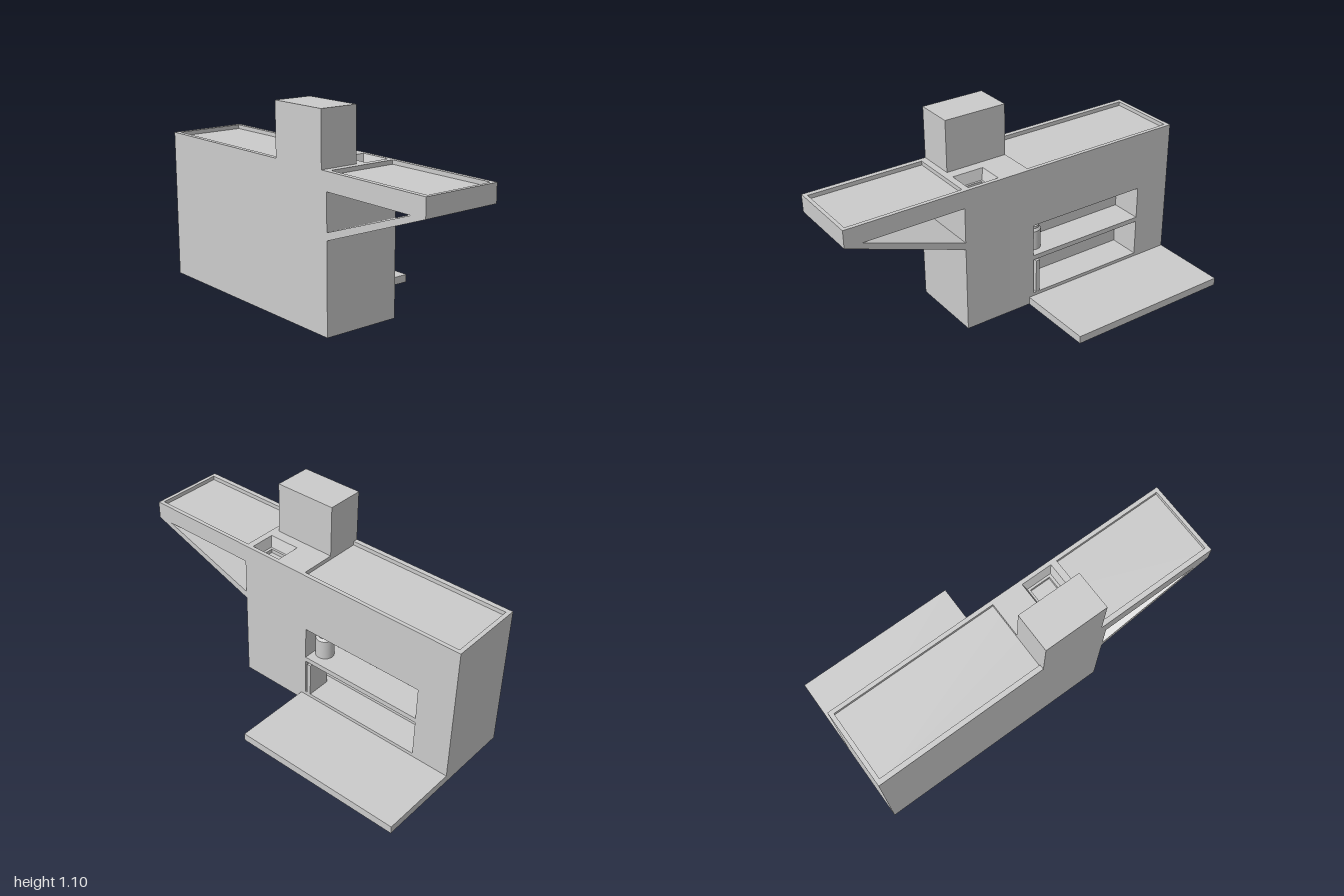
import * as THREE from 'three';

const BACK = 0.006, FRONT = 0.437, NICHE = 0.186;   // z planes
const ARM_Y = 0.715, DECK_Y = 0.79, TOP_Y = 0.812;  // heights
const SIDE = 0.343;                                 // x of the body's left face

const material = new THREE.MeshStandardMaterial({ color: 0xcccccc, flatShading: true });
const smooth = new THREE.MeshStandardMaterial({ color: 0xcccccc });

const poly = pts => pts.map(([x, y]) => new THREE.Vector2(x, y));
const rect = (x0, x1, y0, y1) => poly([[x0, y0], [x1, y0], [x1, y1], [x0, y1]]);

function extrude(outline, holes, depth) {
  const shape = new THREE.Shape(outline);
  shape.holes = holes.map(h => new THREE.Path(h));
  return new THREE.ExtrudeGeometry(shape, { depth, bevelEnabled: false });
}

// Outline drawn in x/y, running from z0 to z1
const upright = (outline, holes, z0, z1) => extrude(outline, holes, z1 - z0).translate(0, 0, z0);

// Plan drawn as x/z rectangles, running from y0 to y1
function layer(plan, holes, y0, y1) {
  const toShape = ([x0, x1, z0, z1]) => rect(x0, x1, -z1, -z0);
  return extrude(toShape(plan), holes.map(toShape), y1 - y0).rotateX(-Math.PI / 2).translate(0, y0, 0);
}

const box = (x0, x1, y0, y1, z0, z1) => new THREE.BoxGeometry(x1 - x0, y1 - y0, z1 - z0)
  .translate((x0 + x1) / 2, (y0 + y1) / 2, (z0 + z1) / 2);

// Stepped rectangular basin from rings [x0, x1, z0, z1, y], closed by a floor
function basin(rings) {
  const pos = [];
  const corners = rings.map(([x0, x1, z0, z1, y]) => [[x0, y, z0], [x0, y, z1], [x1, y, z1], [x1, y, z0]]);
  const quad = (a, b, c, d) => pos.push(...a, ...b, ...c, ...a, ...c, ...d);
  for (let r = 0; r < corners.length - 1; r++) {
    const a = corners[r], b = corners[r + 1];
    for (let i = 0; i < 4; i++) {
      const j = (i + 1) % 4;
      quad(a[i], a[j], b[j], b[i]);
    }
  }
  quad(...corners[corners.length - 1]);
  const g = new THREE.BufferGeometry();
  g.setAttribute('position', new THREE.Float32BufferAttribute(pos, 3));
  g.computeVertexNormals();
  return g;
}

export function createModel() {
  const model = new THREE.Group();
  const add = (name, geometry, mat = material) => {
    const mesh = new THREE.Mesh(geometry, mat);
    mesh.name = name;
    model.add(mesh);
    return mesh;
  };

  // Body: solid front half, and a back half with two shelf niches
  const bodyOutline = rect(-1, SIDE, 0, ARM_Y);
  add('bodyFront', upright(bodyOutline, [], NICHE, FRONT));
  add('bodyBack', upright(bodyOutline, [
    rect(-0.79, -0.077, 0.062, 0.27),
    rect(-0.79, -0.077, 0.297, 0.48),
  ], BACK, NICHE));

  // Sloping brace below the overhanging arm
  add('armBrace', upright(poly([[SIDE, 0.48], [1, ARM_Y], [0.91, ARM_Y], [SIDE, 0.52]]), [], BACK, FRONT));

  // Counter slab and the raised rim around the two trays
  const plan = [-1, 1, BACK, FRONT];
  const sink = [0.128, 0.306, 0.028, 0.168];
  add('counterSlab', layer(plan, [sink], ARM_Y, DECK_Y));
  add('counterRim', layer(plan, [
    sink,
    [-0.977, -0.05, 0.028, 0.41],
    [0.342, 0.98, 0.028, 0.41],
  ], DECK_Y, TOP_Y));

  // Sunken basin with a ledge and a deeper floor
  add('basin', basin([
    [...sink, TOP_Y],
    [0.147, 0.291, 0.047, 0.148, 0.755],
    [0.158, 0.276, 0.059, 0.136, 0.755],
    [0.158, 0.276, 0.059, 0.136, 0.735],
  ]));

  // Raised block on the counter
  add('towerBlock', box(-0.05, 0.305, TOP_Y, 1.097, 0.225, FRONT));

  // Low step behind the body
  add('backStep', box(-1, -0.05, 0, 0.043, -0.437, BACK));

  // Upright board standing in the lower niche
  add('nicheBoard', box(-0.115, -0.092, 0.066, 0.26, 0.002, 0.14));

  // Lidded jar on the shelf
  const jar = [[0, 0], [0.05, 0], [0.05, 0], [0.05, 0.11], [0.05, 0.11], [0.04, 0.124], [0.04, 0.124],
    [0.04, 0.136], [0.04, 0.136], [0.03, 0.147], [0, 0.153]];
  add('jar', new THREE.LatheGeometry(poly(jar), 32), smooth).position.set(-0.13, 0.297, 0.1);

  return model;
}
